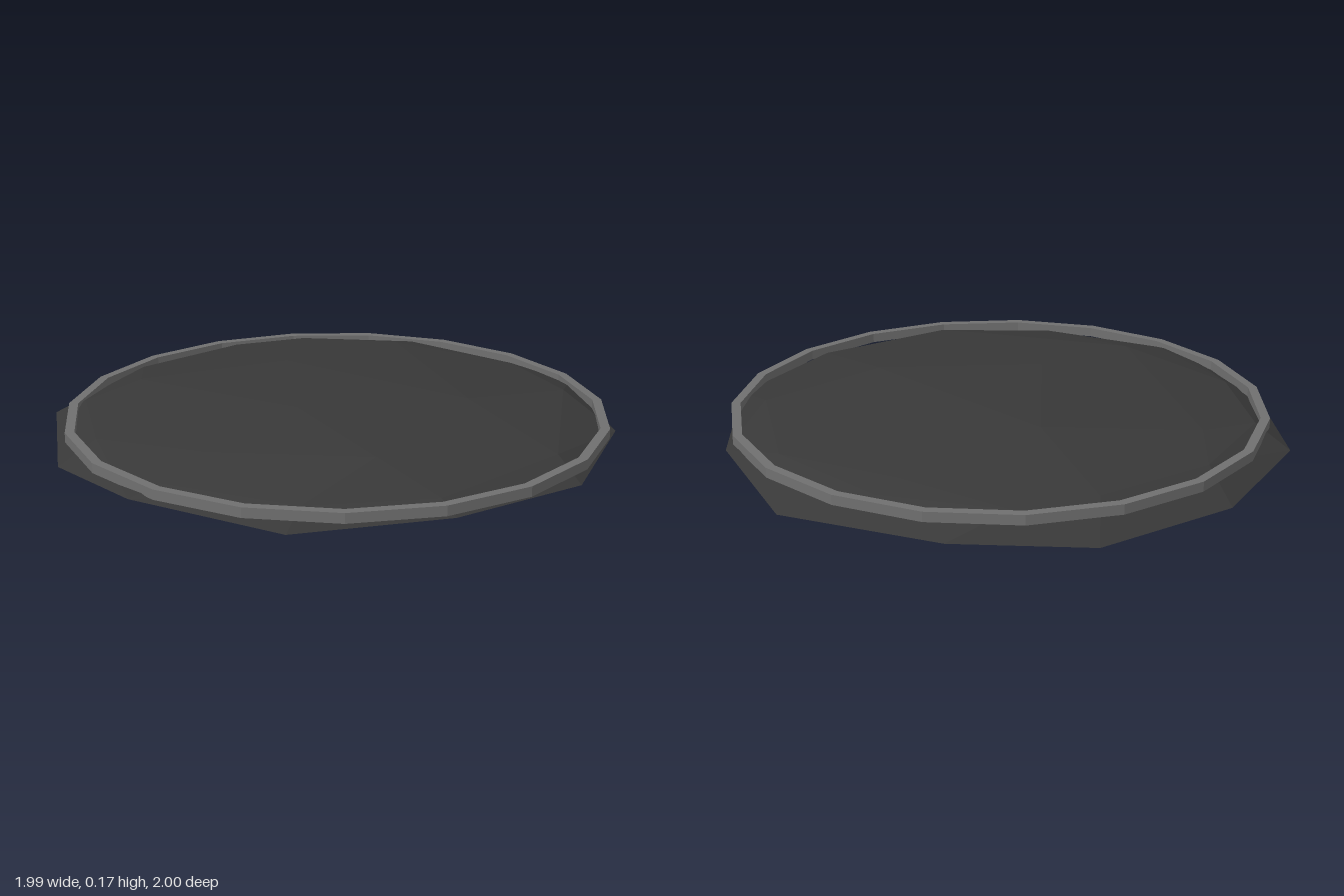
import * as THREE from 'three';
import { ConvexGeometry } from 'three/addons/geometries/ConvexGeometry.js';

// Irregular lower edge of the shell, going round from the left side
const edge = [
  [0.99, 0.05, 0.1], [0.79, 0.05, 0.62], [0.4, 0.03, 0.93], [-0.13, 0.05, 0.995],
  [-0.6, 0.01, 0.77], [-0.94, 0.05, 0.36], [-1, 0.015, -0.1], [-0.81, 0.02, -0.62],
  [-0.39, 0.01, -0.93], [0.12, 0, -1], [0.55, 0.01, -0.8], [0.96, 0.015, -0.4],
];

// Corners where the shell meets the inside of the band
const shoulder = [
  [0.86, 0.092, -0.1], [0.4, 0.095, 0.8], [-0.13, 0.085, 0.91], [-0.53, 0.08, 0.74],
  [-0.83, 0.085, 0.37], [-0.86, 0.09, -0.1], [-0.74, 0.09, -0.5], [-0.4, 0.092, -0.76],
  [0.04, 0.095, -0.84], [0.33, 0.088, -0.81], [0.68, 0.092, -0.54],
];

// Corners of the shallow domed top
const crown = [
  [0.78, 0.12, 0.33], [-0.2, 0.145, 0.64], [-0.65, 0.135, 0.3], [0.34, 0.17, 0.36],
  [-0.22, 0.17, 0.15], [0.03, 0.155, -0.38], [-0.5, 0.118, -0.55], [0.58, 0.114, -0.5],
];

// Convex surface of the points with its downward faces left out
function openShell(points) {
  const hull = new ConvexGeometry(points.map((p) => new THREE.Vector3(...p)));
  const { position, normal } = hull.attributes;
  const faces = [];
  for (let i = 0; i < position.count; i += 3) {
    if (normal.getY(i) > 0) faces.push(i, i + 1, i + 2);
  }
  hull.setIndex(faces);
  return hull;
}

export function createModel() {
  const group = new THREE.Group();
  group.name = 'rimmedStoneDisc';

  // Faceted stone shell, open below
  const shell = new THREE.Mesh(
    openShell([...edge, ...shoulder, ...crown]),
    new THREE.MeshStandardMaterial({ color: 0x383838, flatShading: true, side: THREE.DoubleSide })
  );
  shell.name = 'stoneShell';
  group.add(shell);

  // Nineteen-sided band with a square section, one corner at the back
  const inner = 0.93, outer = 0.963, low = 0.058, high = 0.093;
  const section = [
    [inner, low], [outer, low], [outer, high], [inner, high], [inner, low],
  ].map(([x, y]) => new THREE.Vector2(x, y));
  const rim = new THREE.Mesh(
    new THREE.LatheGeometry(section, 19, Math.PI),
    new THREE.MeshStandardMaterial({ color: 0x707070, flatShading: true })
  );
  rim.name = 'rimBand';
  rim.position.z = 0.036;
  group.add(rim);

  return group;
}
